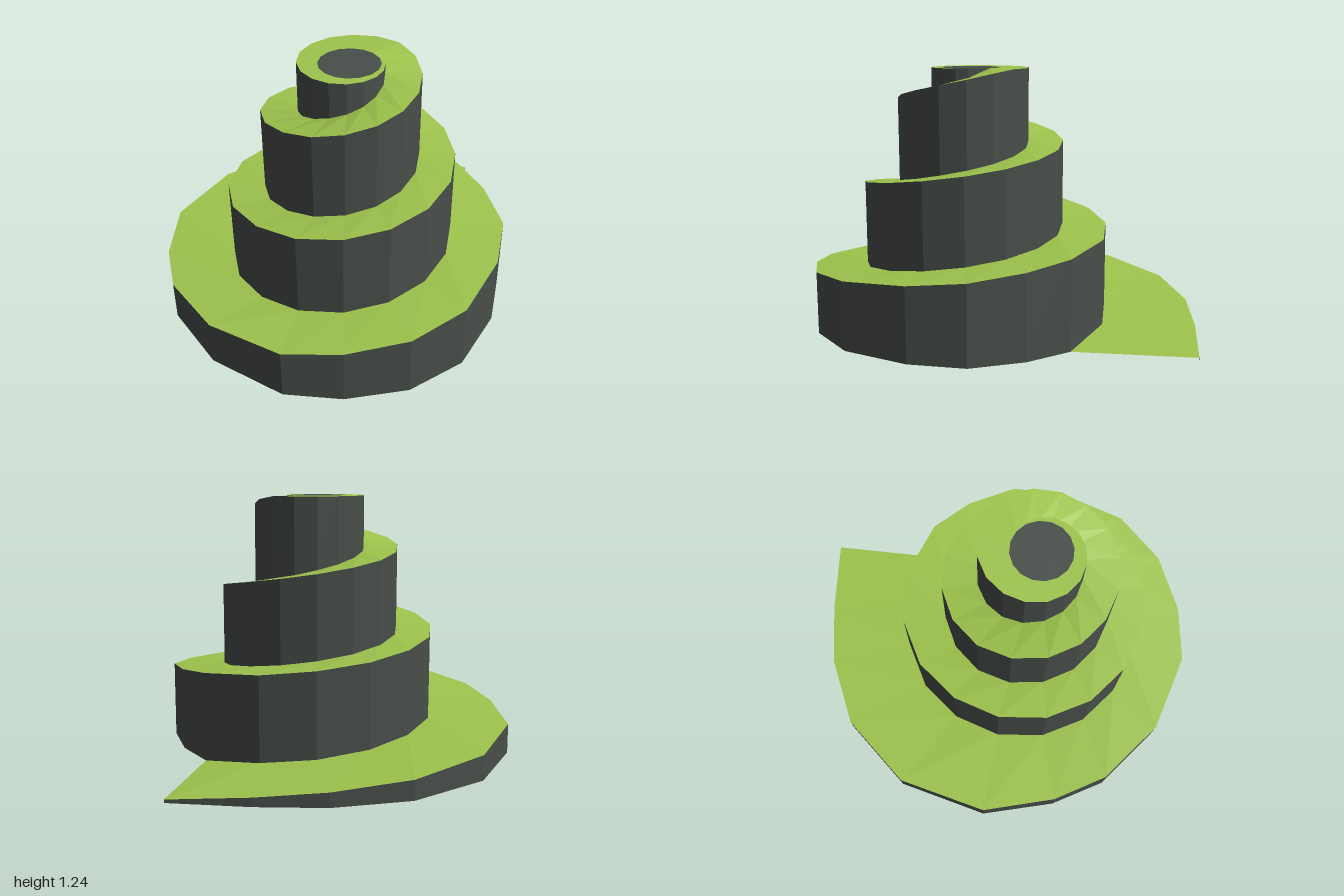
import * as THREE from 'three';

const CX = -0.17, CZ = 0.14;   // axis of the spiral
const STEPS = 16, TURNS = 4, TOP = 1.235, CORE = 0.14;

// Irregular outer edge of the lowest turn (x, z)
const BASE = [
  [1.0, -0.14], [0.77, -0.43], [0.55, -0.66], [0.24, -0.85],
  [-0.17, -0.905], [-0.59, -0.75], [-0.83, -0.48], [-0.96, -0.23],
  [-1.0, 0.13], [-0.89, 0.5], [-0.71, 0.7], [-0.46, 0.855],
  [-0.17, 0.9], [0.15, 0.8], [0.37, 0.645], [0.49, 0.41], [0.535, 0.18],
];
// Radius at every quarter of the upper turns
const RADII = [0.706, 0.61, 0.545, 0.505, 0.46, 0.43, 0.375, 0.335, 0.3, 0.255, 0.21, 0.17, CORE];

// Plan position of spiral point i
function plan(i) {
  if (i < BASE.length) return BASE[i];
  const q = Math.min((i - STEPS) / 4, RADII.length - 1);
  const k = Math.floor(q);
  const r = THREE.MathUtils.lerp(RADII[k], RADII[Math.min(k + 1, RADII.length - 1)], q - k);
  const a = -i / STEPS * Math.PI * 2;
  return [CX + r * Math.cos(a), CZ + r * Math.sin(a)];
}

// The ramp climbs steadily, then levels off at the summit
const rampY = (i) => Math.min(TOP, 0.015 + 0.0256 * i);
const footY = (i) => (i <= STEPS ? 0 : rampY(i - STEPS));
const point = (i, y) => [plan(i)[0], y, plan(i)[1]];

// Strip of quads between two rails, each a function of the point index
function strip(railA, railB, count, name, material) {
  const pos = [];
  for (let i = 0; i < count; i++) {
    const a = railA(i), b = railA(i + 1), c = railB(i + 1), d = railB(i);
    pos.push(...a, ...b, ...c, ...a, ...c, ...d);
  }
  const geo = new THREE.BufferGeometry();
  geo.setAttribute('position', new THREE.Float32BufferAttribute(pos, 3));
  geo.computeVertexNormals();
  const mesh = new THREE.Mesh(geo, material);
  mesh.name = name;
  return mesh;
}

export function createModel() {
  const group = new THREE.Group();
  group.name = 'spiralTower';
  const make = (color) => new THREE.MeshStandardMaterial({ color, flatShading: true, side: THREE.DoubleSide });
  const green = make(0x9fc54d), dark = make(0x484e4a);
  const count = STEPS * TURNS;

  // Continuous wall winding inwards and upwards, open underneath
  group.add(strip((i) => point(i, footY(i)), (i) => point(i, rampY(i)), count, 'spiralWall', dark));

  // Ramp from each wall's top edge to the foot of the next turn
  group.add(strip((i) => point(i, rampY(i)), (i) => point(i + STEPS, footY(i + STEPS)), count, 'spiralRamp', green));

  // Disc closing the summit
  const cap = new THREE.Mesh(new THREE.CircleGeometry(CORE, STEPS), dark);
  cap.rotation.x = -Math.PI / 2;
  cap.position.set(CX, TOP, CZ);
  cap.name = 'summitDisc';
  group.add(cap);

  return group;
}
